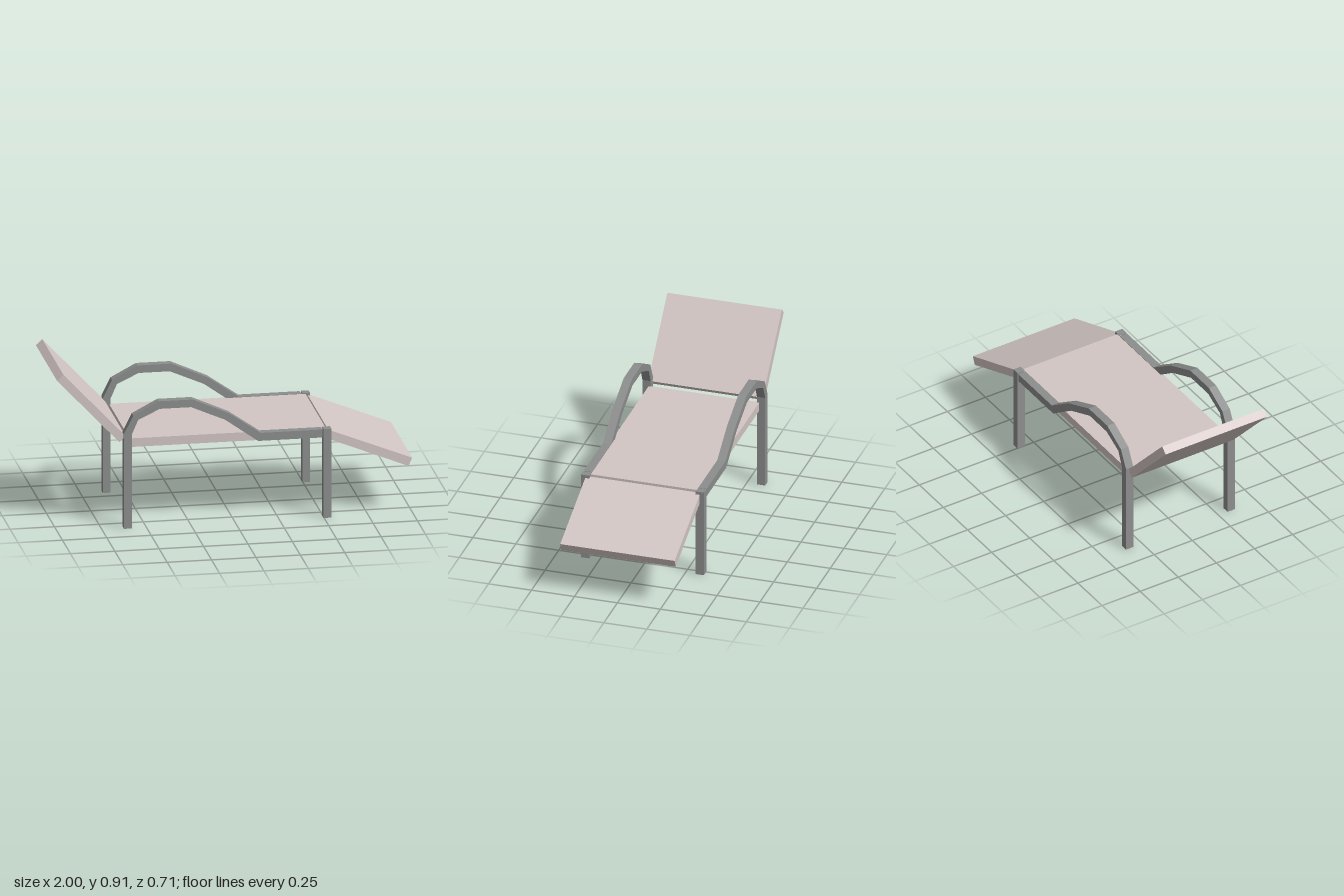
import * as THREE from 'three';

const fabric = new THREE.MeshStandardMaterial({ color: 0xd2c6c4, flatShading: true });
const metal = new THREE.MeshStandardMaterial({ color: 0x8c8e8d, flatShading: true });

// Side outline in x/y, extruded along z between two depths
function slab(name, points, z0, z1, material) {
  const shape = new THREE.Shape(points.map(([x, y]) => new THREE.Vector2(x, y)));
  const geometry = new THREE.ExtrudeGeometry(shape, { depth: z1 - z0, bevelEnabled: false });
  geometry.translate(0, 0, z0);
  const mesh = new THREE.Mesh(geometry, material);
  mesh.name = name;
  return mesh;
}

export function createModel() {
  const group = new THREE.Group();
  group.name = 'sunLounger';

  // Cushioned panels
  group.add(
    slab('seat', [[-0.59, 0.463], [0.515, 0.463], [0.515, 0.513], [-0.59, 0.513]], -0.322, 0.322, fabric),
    slab('backrest', [[-1, 0.874], [-0.649, 0.498], [-0.613, 0.531], [-0.964, 0.907]], -0.333, 0.333, fabric),
    slab('legRest', [[0.508, 0.46], [0.98, 0.268], [1, 0.315], [0.527, 0.505]], -0.333, 0.333, fabric),
  );

  // Rear leg sweeping into the armrest and down to the side rail
  const armrest = [
    [-0.627, 0], [-0.583, 0], [-0.583, 0.548], [-0.547, 0.63], [-0.425, 0.687], [-0.25, 0.687],
    [-0.058, 0.603], [0.128, 0.469], [0.49, 0.469],
    [0.49, 0.515], [0.143, 0.515], [-0.035, 0.639], [-0.24, 0.731], [-0.432, 0.731],
    [-0.575, 0.656], [-0.627, 0.552],
  ];
  const frontLeg = [[0.497, 0], [0.541, 0], [0.541, 0.517], [0.497, 0.517]];
  for (const [side, z0] of [['near', 0.309], ['far', -0.357]]) {
    group.add(
      slab(`${side}LegAndArmrest`, armrest, z0, z0 + 0.048, metal),
      slab(`${side}FootLeg`, frontLeg, z0, z0 + 0.048, metal),
    );
  }
  return group;
}
